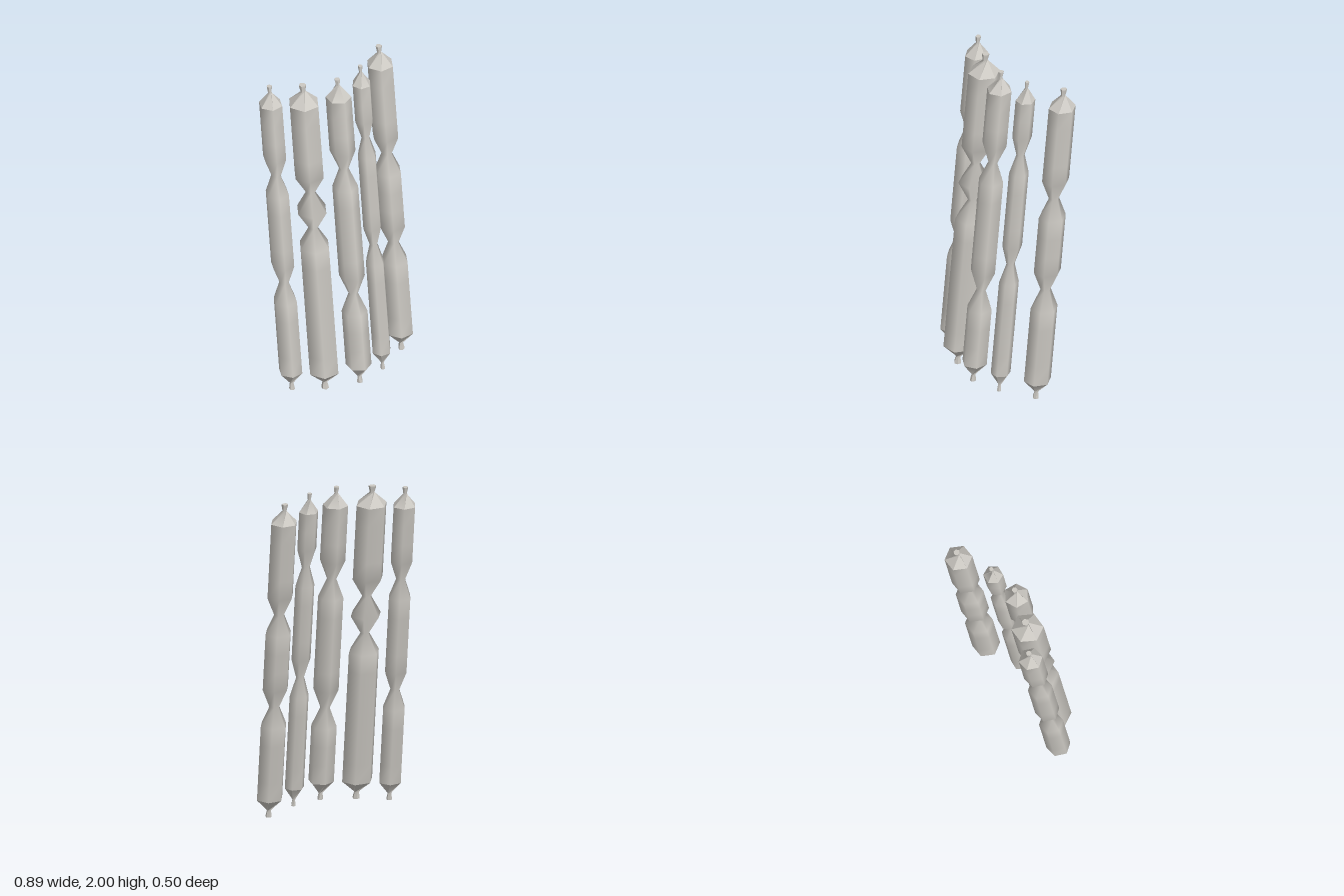
import * as THREE from 'three';
import { toCreasedNormals } from 'three/addons/utils/BufferGeometryUtils.js';

const SIDES = 6;
const STEP = 2 / 17;      // spacing of the rings along a column
const LEAN = -0.1125;     // z shift per unit of height
const rad = THREE.MathUtils.degToRad;

// Skin a stack of rings, each [y, radius, angle in degrees], leaning back with height.
function skin(rings, capStart, capEnd) {
  const pos = [], index = [];
  const point = (y, r, a) => pos.push(r * Math.cos(a), y, -r * Math.sin(a) + LEAN * (y - 1));
  for (const [y, r, deg] of rings) {
    for (let s = 0; s < SIDES; s++) point(y, r, rad(deg) + (s / SIDES) * Math.PI * 2);
  }
  for (let k = 0; k < rings.length - 1; k++) {
    for (let s = 0; s < SIDES; s++) {
      const i = k * SIDES + s, j = k * SIDES + (s + 1) % SIDES;
      index.push(i, j, j + SIDES, i, j + SIDES, i + SIDES);
    }
  }
  const cap = (k, up) => {
    point(rings[k][0], 0, 0);
    const c = pos.length / 3 - 1;
    for (let s = 0; s < SIDES; s++) {
      const i = k * SIDES + s, j = k * SIDES + (s + 1) % SIDES;
      if (up) index.push(c, i, j);
      else index.push(c, j, i);
    }
  };
  if (capStart) cap(0, false);
  if (capEnd) cap(rings.length - 1, true);
  const g = new THREE.BufferGeometry();
  g.setAttribute('position', new THREE.Float32BufferAttribute(pos, 3));
  g.setIndex(index);
  g.computeVertexNormals();
  return g;
}

// One column: hexagonal tube pinched at some rings, with a twisted, flared knot at each end.
function column({ name, x, z, r, turn, pinches, waist }, material) {
  const group = new THREE.Group();
  group.name = name;
  group.position.set(x, 0, z);
  const add = (part, geometry) => {
    const mesh = new THREE.Mesh(geometry, material);
    mesh.name = part;
    group.add(mesh);
  };

  // pinched tube
  const rings = [];
  for (let k = 1; k <= 16; k++) {
    rings.push([k * STEP, pinches.includes(k) ? r * waist : r, turn]);
  }
  add('tube', skin(rings, false, false));

  // twisted ends
  const tip = [[STEP, r, 0], [0.04, r * 0.15, 40], [0.012, r * 0.22, 40], [0, r * 0.23, 40]];
  const top = tip.map(([y, q, t]) => [2 - y, q, turn + t]);
  const bottom = tip.map(([y, q, t]) => [y, q, turn - t]).reverse();
  add('topKnot', toCreasedNormals(skin(top, false, true), 0.6));
  add('bottomKnot', toCreasedNormals(skin(bottom, true, false), 0.6));
  return group;
}

export function createModel() {
  const model = new THREE.Group();
  model.name = 'pinchedColumns';
  const paleGrey = new THREE.MeshStandardMaterial({ color: 0xcbc8c2, side: THREE.DoubleSide });
  paleGrey.name = 'pale warm grey';

  const columns = [
    { name: 'farRightColumn', x: -0.375, z: -0.09, r: 0.07, turn: 6, pinches: [6, 12], waist: 0.4 },
    { name: 'rightColumn', x: -0.213, z: 0.009, r: 0.093, turn: -1.5, pinches: [9, 11], waist: 0.28 },
    { name: 'middleColumn', x: -0.018, z: 0.077, r: 0.074, turn: 24.5, pinches: [5, 12], waist: 0.37 },
    { name: 'leftColumn', x: 0.164, z: 0.047, r: 0.057, turn: -7, pinches: [7, 13], waist: 0.42 },
    { name: 'farLeftColumn', x: 0.364, z: -0.051, r: 0.08, turn: 1, pinches: [6, 11], waist: 0.38 },
  ];
  for (const c of columns) model.add(column(c, paleGrey));
  return model;
}
